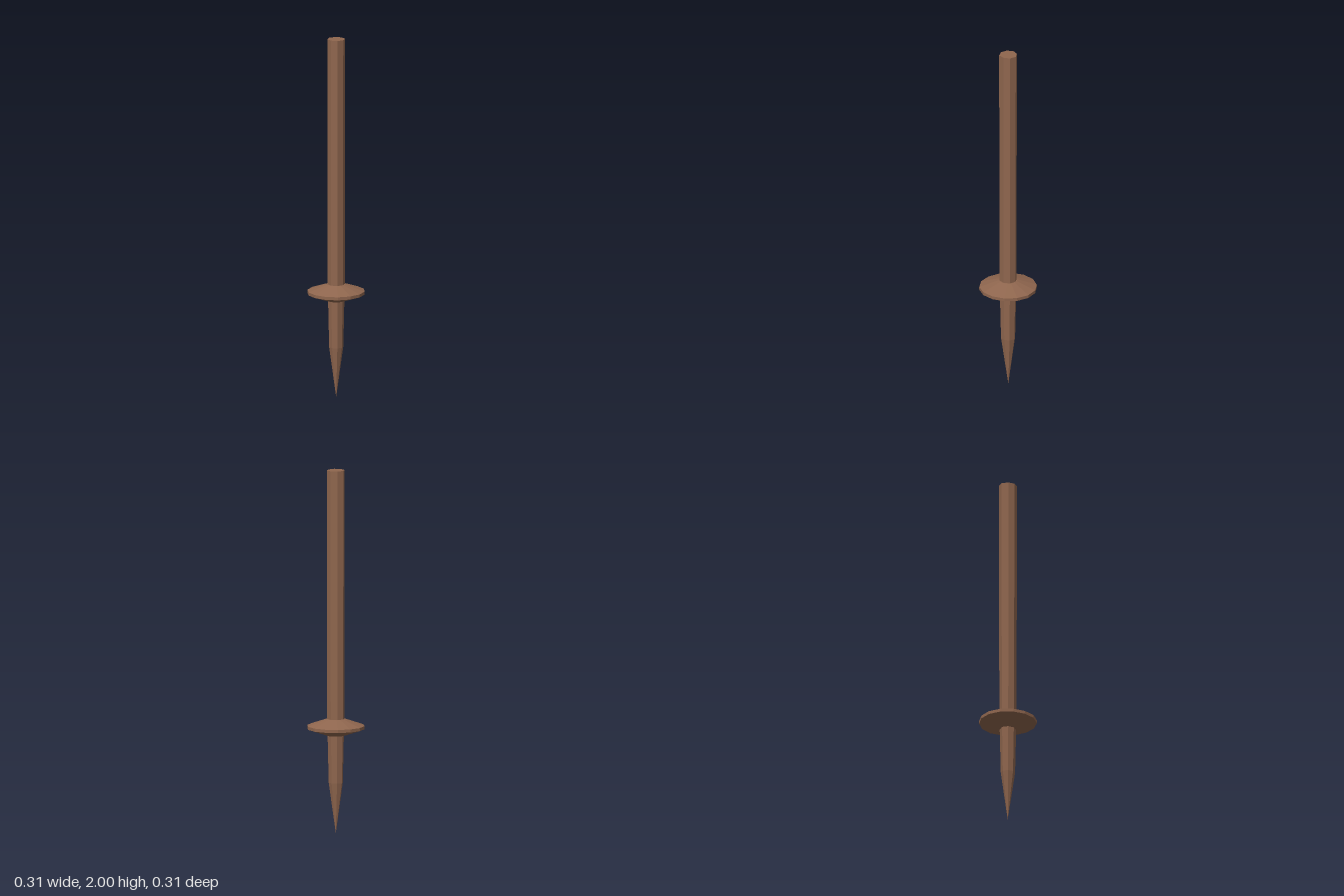
import * as THREE from 'three';

// Faceted turned part; profile is [radius, y] from bottom to top.
// wobble makes the carved section slightly uneven.
function turned(name, profile, sides, phase, wobble, material) {
  const points = profile.map(([r, y]) => new THREE.Vector2(r, y));
  const geometry = new THREE.LatheGeometry(points, sides, phase);
  const p = geometry.attributes.position;
  for (let i = 0; i < p.count; i++) {
    const a = Math.atan2(p.getZ(i), p.getX(i));
    const k = 1 + wobble * Math.sin(3 * a + 0.7);
    p.setX(i, p.getX(i) * k);
    p.setZ(i, p.getZ(i) * k);
  }
  geometry.computeVertexNormals();
  const mesh = new THREE.Mesh(geometry, material);
  mesh.name = name;
  return mesh;
}

export function createModel() {
  const group = new THREE.Group();
  group.name = 'woodenStake';
  const wood = new THREE.MeshStandardMaterial({ color: 0x8f664e, flatShading: true });
  wood.name = 'brown wood';

  // Straight eight-sided shaft with a flat top
  group.add(turned('shaft', [[0.047, 0.585], [0.049, 2], [0, 2]], 8, 0.08, 0.03, wood));

  // Tapering lower end, sharpened to a point
  group.add(turned('point', [[0, 0], [0.039, 0.28], [0.046, 0.585]], 8, 0.08, 0.03, wood));

  // Bevelled disc around the shaft with a thin rim
  group.add(turned('guardDisc',
    [[0.04, 0.54], [0.05, 0.54], [0.157, 0.577], [0.157, 0.594], [0.05, 0.631], [0.04, 0.631]],
    14, 0.1, 0.01, wood));

  return group;
}
